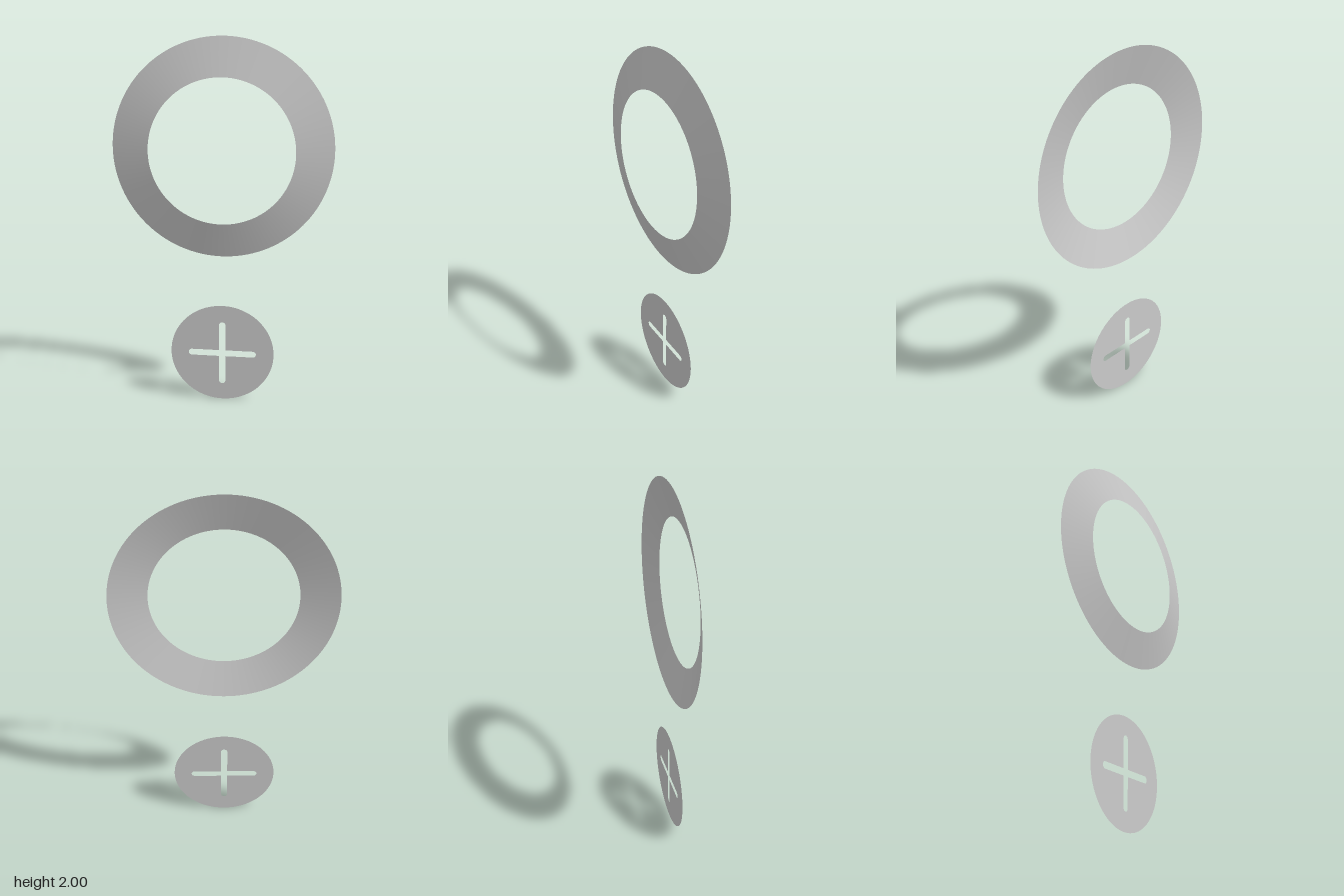
import * as THREE from 'three';

const material = new THREE.MeshStandardMaterial({ color: 0xcccccc, side: THREE.DoubleSide });
const DEPTH = 0.026; // half the depth of the ring

// Thin conical ring: wide edge at the back, opening pushed forward
function createRing() {
  const profile = [new THREE.Vector2(0.57, -DEPTH), new THREE.Vector2(0.376, DEPTH)];
  const ring = new THREE.Mesh(new THREE.LatheGeometry(profile, 128), material);
  ring.name = 'bevelledRing';
  ring.rotation.x = Math.PI / 2;
  ring.position.y = 1.43;
  return ring;
}

// Outline of a plus sign with rounded arm ends, one arm per quarter turn
function crossHole(reach, half) {
  const hole = new THREE.Path();
  for (let i = 0; i < 4; i++) {
    const a = (i * Math.PI) / 2;
    const at = (u, v) => [u * Math.cos(a) - v * Math.sin(a), u * Math.sin(a) + v * Math.cos(a)];
    if (i === 0) hole.moveTo(...at(half, -half));
    else hole.lineTo(...at(half, -half));
    hole.lineTo(...at(reach - half, -half));
    hole.absarc(...at(reach - half, 0), half, a - Math.PI / 2, a + Math.PI / 2, false);
  }
  hole.closePath();
  return hole;
}

// Flat disc with the cross-shaped slot
function createDisc() {
  const shape = new THREE.Shape();
  shape.absarc(0, 0, 0.286, 0, Math.PI * 2, false);
  shape.holes.push(crossHole(0.188, 0.018));
  const disc = new THREE.Mesh(new THREE.ShapeGeometry(shape, 48), material);
  disc.name = 'slottedDisc';
  disc.position.set(0, 0.286, -DEPTH);
  return disc;
}

export function createModel() {
  const model = new THREE.Group();
  model.name = 'ringAndDisc';
  model.add(createRing(), createDisc());
  return model;
}
